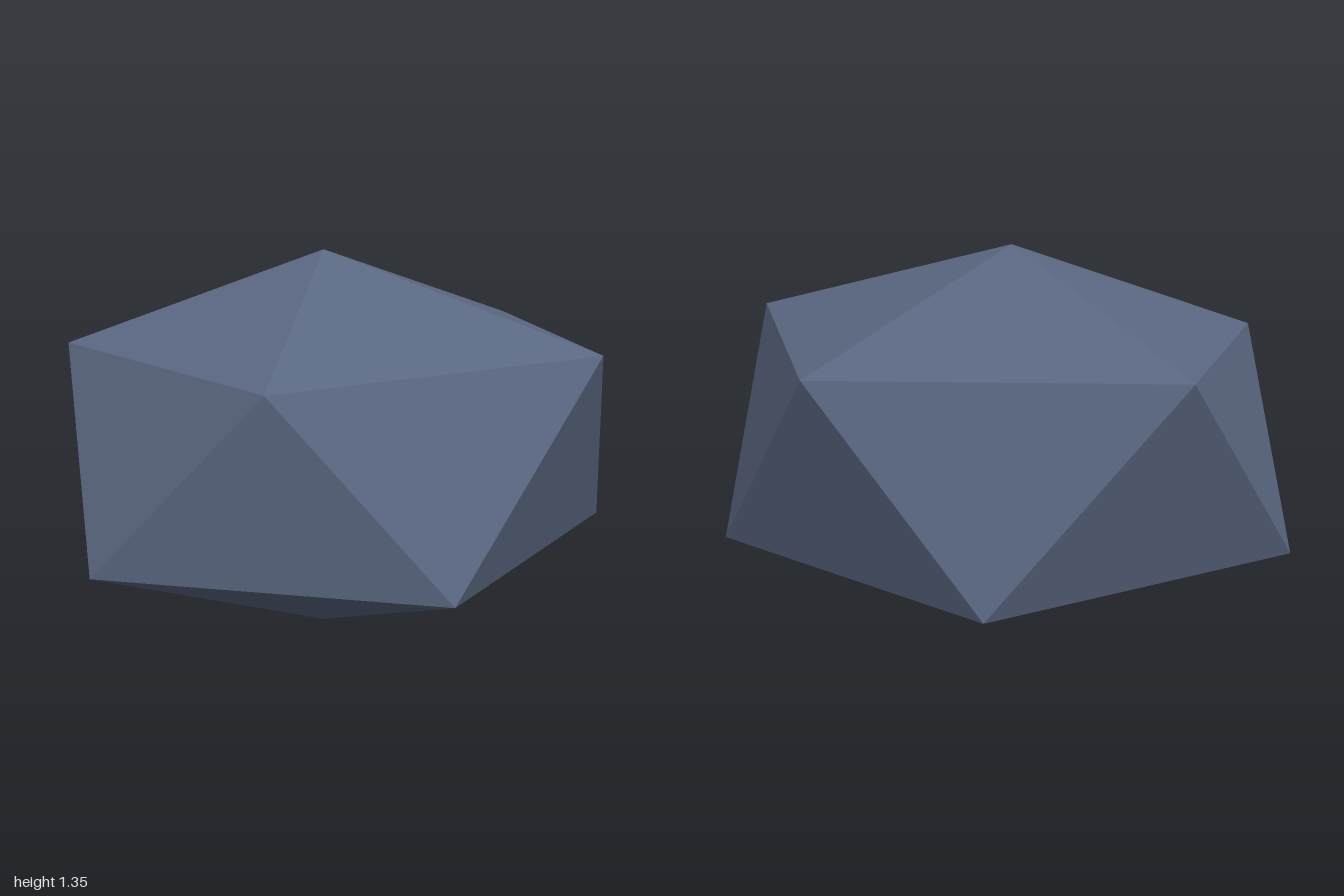
import * as THREE from 'three';

// Faceted rock: two staggered five-point rings closed by a top and a bottom point
export function createModel() {
  const group = new THREE.Group();
  group.name = 'rock';
  const slate = new THREE.MeshStandardMaterial({ color: 0x5a6781, flatShading: true });
  slate.name = 'slate blue';

  const top = [0, 1.35, 0];
  const bottom = [0, 0, 0];
  // Rings run counterclockwise seen from above
  const upper = [[1, 1.075, 0], [0.29, 1.05, -0.89], [-0.81, 1.08, -0.6], [-0.71, 1.04, 0.51], [0.24, 1, 0.73]];
  const lower = [[0.81, 0.38, -0.6], [-0.3, 0.395, -0.91], [-1, 0.38, 0.01], [-0.3, 0.39, 0.91], [0.78, 0.395, 0.55]];

  const positions = [];
  const face = (...corners) => corners.forEach((p) => positions.push(...p));
  for (let i = 0; i < 5; i++) {
    const j = (i + 1) % 5;
    face(top, upper[i], upper[j]); // cap
    face(upper[i], lower[i], upper[j]); // band, pointing down
    face(upper[j], lower[i], lower[j]); // band, pointing up
    face(bottom, lower[j], lower[i]); // base
  }

  const geometry = new THREE.BufferGeometry();
  geometry.setAttribute('position', new THREE.Float32BufferAttribute(positions, 3));
  geometry.computeVertexNormals();
  const body = new THREE.Mesh(geometry, slate);
  body.name = 'rockBody';
  group.add(body);
  return group;
}
